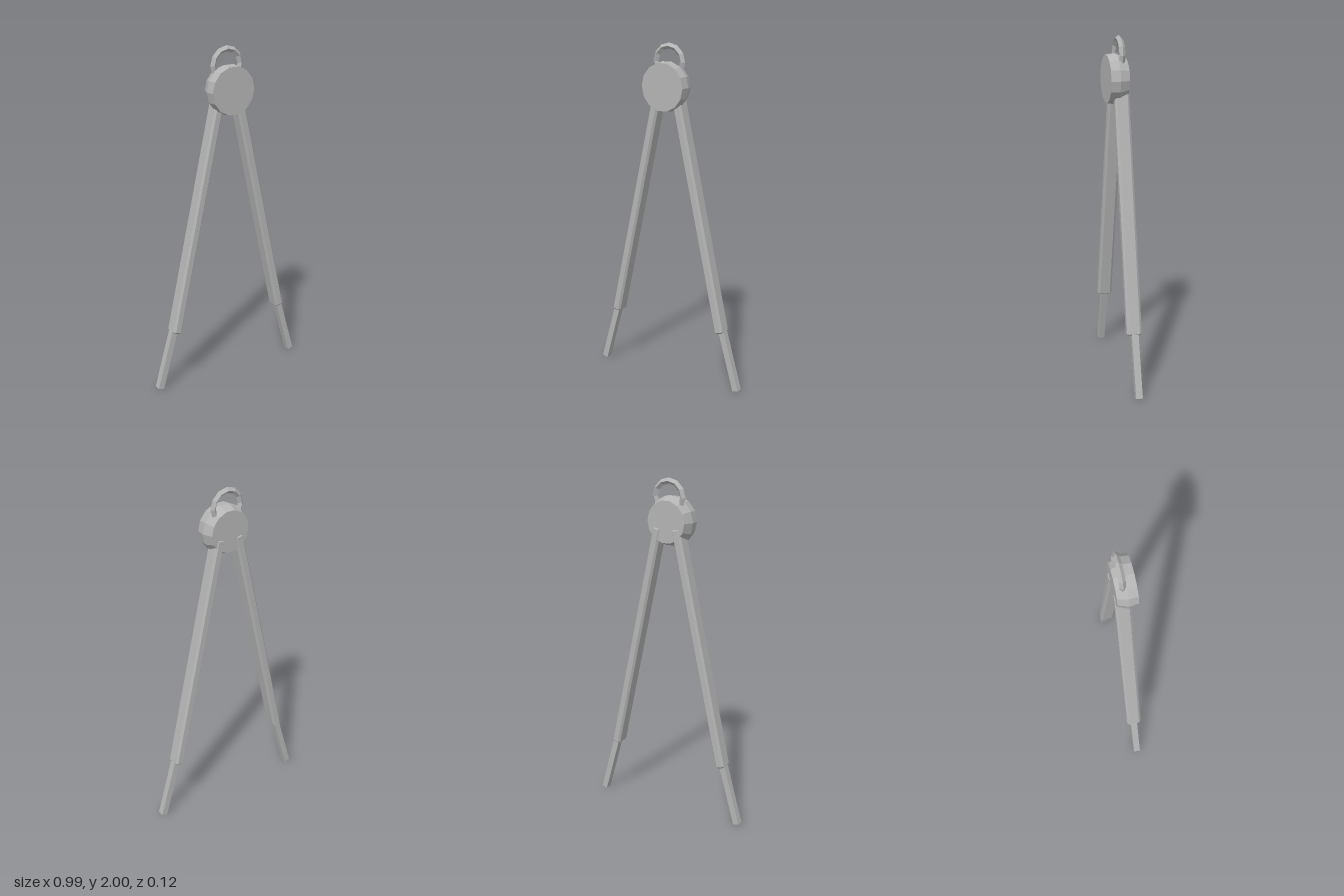
import * as THREE from 'three';

const metal = new THREE.MeshStandardMaterial({ color: 0xb4b4b4, flatShading: true });
metal.name = 'grey metal';

// Box with every edge chamfered, its length along y
function chamferedBar(width, length, depth, c) {
  const w = width / 2, d = depth / 2;
  const section = new THREE.Shape([
    [w - c, -d], [w, -d + c], [w, d - c], [w - c, d],
    [-w + c, d], [-w, d - c], [-w, -d + c], [-w + c, -d],
  ].map(([x, y]) => new THREE.Vector2(x * (w - c) / w, y * (d - c) / d)));
  const bar = new THREE.ExtrudeGeometry(section, {
    depth: length - 2 * c, steps: 1,
    bevelEnabled: true, bevelSegments: 1, bevelSize: c, bevelThickness: c,
  });
  bar.translate(0, 0, c - length / 2);
  bar.rotateX(-Math.PI / 2);
  return bar;
}

// Place a bar, modelled along y, between two points in the xy plane
function placeBar(name, makeGeometry, [x0, y0], [x1, y1], z) {
  const length = Math.hypot(x1 - x0, y1 - y0);
  const mesh = new THREE.Mesh(makeGeometry(length), metal);
  mesh.name = name;
  mesh.position.set((x0 + x1) / 2, (y0 + y1) / 2, z);
  mesh.rotation.z = -Math.atan2(x1 - x0, y1 - y0);
  return mesh;
}

export function createModel() {
  const model = new THREE.Group();
  model.name = 'dividers';

  // Fourteen-sided hinge hub, widest in the middle and narrower at the back
  const profile = [[0, -0.055], [0.122, -0.055], [0.144, 0.002], [0.138, 0.055], [0, 0.055]]
    .map(([r, z]) => new THREE.Vector2(r, z));
  const hub = new THREE.Mesh(new THREE.LatheGeometry(profile, 14, Math.PI / 2), metal);
  hub.name = 'hingeHub';
  hub.rotation.x = Math.PI / 2;
  hub.position.y = 1.755;
  model.add(hub);

  // Handle ring sunk into the top of the hub
  const ring = new THREE.Mesh(new THREE.TorusGeometry(0.09, 0.0175, 4, 12), metal);
  ring.name = 'handleRing';
  ring.position.set(0, 1.8925, -0.019);
  model.add(ring);

  // Mirrored legs, each a thick chamfered bar with a thin point below
  for (const [side, s] of [['left', 1], ['right', -1]]) {
    const leg = new THREE.Group();
    leg.name = side + 'Leg';
    leg.add(
      placeBar(side + 'UpperLeg', (l) => chamferedBar(0.054, l, 0.086, 0.009),
        [s * 0.37, 0.346], [s * 0.06, 1.72], -0.017),
      placeBar(side + 'LegPoint', (l) => new THREE.BoxGeometry(0.036, l, 0.039),
        [s * 0.477, 0.005], [s * 0.37, 0.375], -0.019),
    );
    model.add(leg);
  }
  return model;
}
